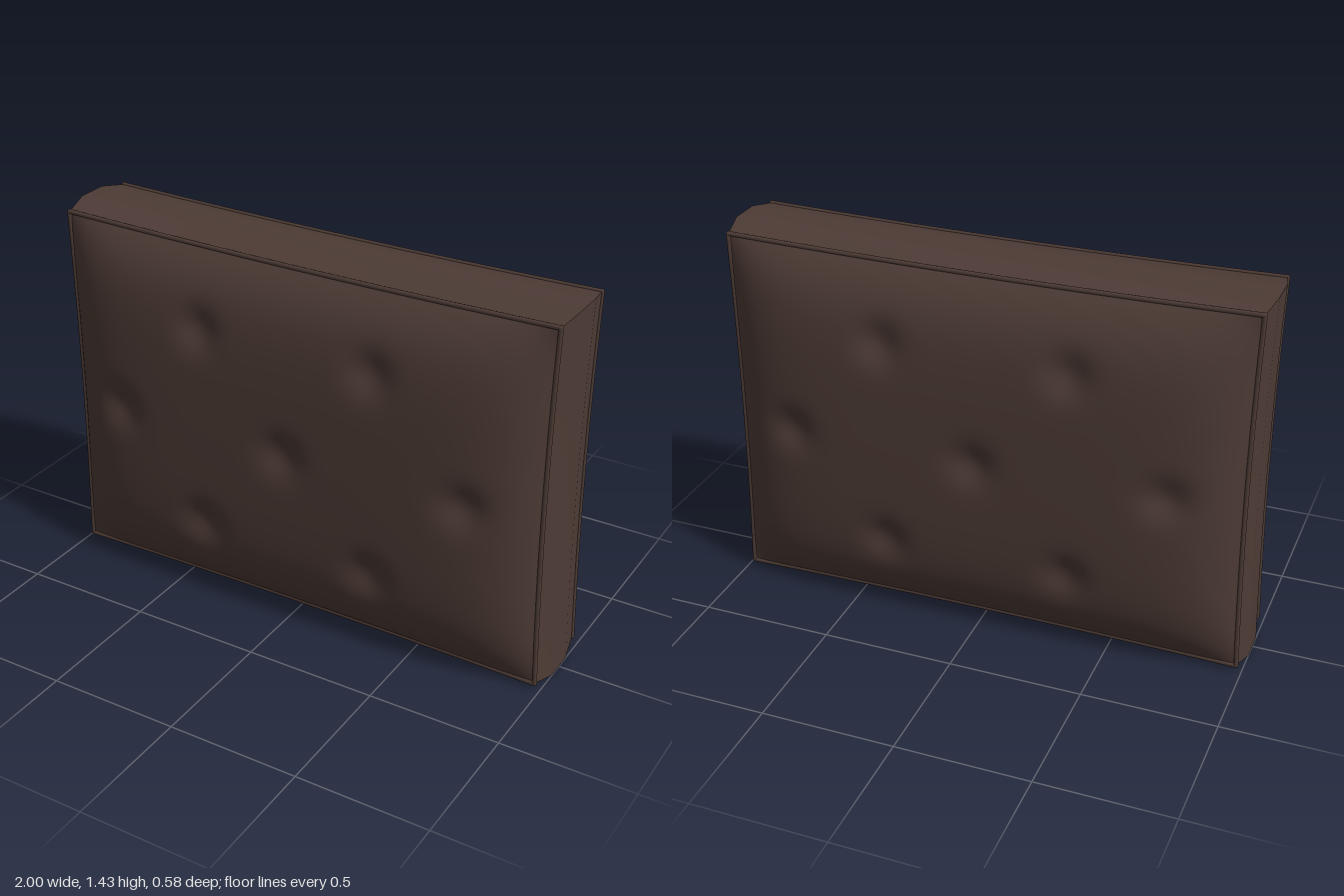
import * as THREE from 'three';

const SEAM_Z = 0.165; // half width of the side band
const BULGE = 0.022;  // how far the band swells past the seam
const HALF_H = 0.693;
const HALF_W = 0.978;
const TUFTS = [[-0.35, 0.41], [0.35, 0.41], [-0.71, 0], [0, 0], [0.71, 0], [-0.35, -0.39], [0.35, -0.39]];

// Point on the slightly pinched outline, u and v run from -1 to 1
const outlineX = (u, v, b = 0) => u * (HALF_W - 0.012 * (1 - v * v) + b);
const outlineY = (u, v, b = 0) => v * (HALF_H - 0.012 * (1 - u * u) + b);

// Grid over u, v in [-1, 1] moved by a rule
function surface(nu, nv, rule) {
  const geometry = new THREE.PlaneGeometry(2, 2, nu, nv);
  const p = geometry.attributes.position;
  for (let i = 0; i < p.count; i++) p.setXYZ(i, ...rule(p.getX(i), p.getY(i)));
  geometry.computeVertexNormals();
  return geometry;
}

// Padded face: quick rise from the seam, then nearly flat, with soft tufts
function padPoint(u, v) {
  const x = outlineX(u, v), y = outlineY(u, v);
  const rise = (half, t) => 1 - Math.exp(-half * (1 - Math.abs(t)) / 0.12);
  let z = SEAM_Z + 0.128 * rise(HALF_W, u) * rise(HALF_H, v);
  for (const [tx, ty] of TUFTS) {
    const d2 = (x - tx) ** 2 + (y - ty) ** 2;
    z -= 0.03 * Math.exp(-d2 / (2 * 0.055 ** 2));
  }
  return [x, y, z];
}

// Band cross-section: flat middle, sloping to the seams
function bandProfile(t) {
  const a = Math.abs(t);
  const z = Math.sign(t) * (a < 0.34 ? a * 0.18 : 0.06 + (a - 1 / 3) * 1.5 * (SEAM_Z - 0.06));
  return { z, b: BULGE * Math.min(1, (SEAM_Z - Math.abs(z)) / (SEAM_Z - 0.06)) };
}

export function createModel() {
  const model = new THREE.Group();
  const cushion = new THREE.Group();
  cushion.name = 'cushion';
  cushion.position.y = HALF_H + BULGE;
  model.add(cushion);
  const leather = new THREE.MeshStandardMaterial({ color: 0x4d3b35 });

  const add = (name, geometry, rx = 0, ry = 0, rz = 0) => {
    const mesh = new THREE.Mesh(geometry, leather);
    mesh.name = name;
    mesh.rotation.set(rx, ry, rz);
    cushion.add(mesh);
  };

  // Tufted faces
  const pad = surface(96, 72, padPoint);
  add('frontPad', pad);
  add('backPad', pad, 0, Math.PI);

  // Band around the edge, opposite sides share a geometry
  const sideBand = surface(6, 24, (t, v) => {
    const { z, b } = bandProfile(-t);
    return [outlineX(1, v, b), outlineY(1, v, b), z];
  });
  const topBand = surface(24, 6, (u, t) => {
    const { z, b } = bandProfile(-t);
    return [outlineX(u, 1, b), outlineY(u, 1, b), z];
  });
  add('leftBand', sideBand);
  add('rightBand', sideBand, 0, 0, Math.PI);
  add('topBand', topBand);
  add('bottomBand', topBand, 0, 0, Math.PI);

  // Thin piping on both seams, with round corner joints
  const r = 0.009;
  const seam = (pointAt) => {
    const points = [];
    for (let i = -4; i <= 4; i++) points.push(pointAt(i / 4));
    return new THREE.TubeGeometry(new THREE.CatmullRomCurve3(points), 24, r, 8);
  };
  const sideSeam = seam((v) => new THREE.Vector3(outlineX(1, v), outlineY(1, v), SEAM_Z));
  const topSeam = seam((u) => new THREE.Vector3(outlineX(u, 1), outlineY(u, 1), SEAM_Z));
  const joint = new THREE.SphereGeometry(r, 8, 6);
  for (const [side, ry] of [['front', 0], ['back', Math.PI]]) {
    for (const rz of [0, Math.PI]) {
      add(side + 'SidePiping', sideSeam, 0, ry, rz);
      add(side + 'LongPiping', topSeam, 0, ry, rz);
    }
    for (const sx of [-1, 1]) for (const sy of [-1, 1]) {
      const corner = joint.clone().translate(sx * HALF_W, sy * HALF_H, SEAM_Z);
      add(side + 'PipingCorner', corner, 0, ry);
    }
  }
  return model;
}
